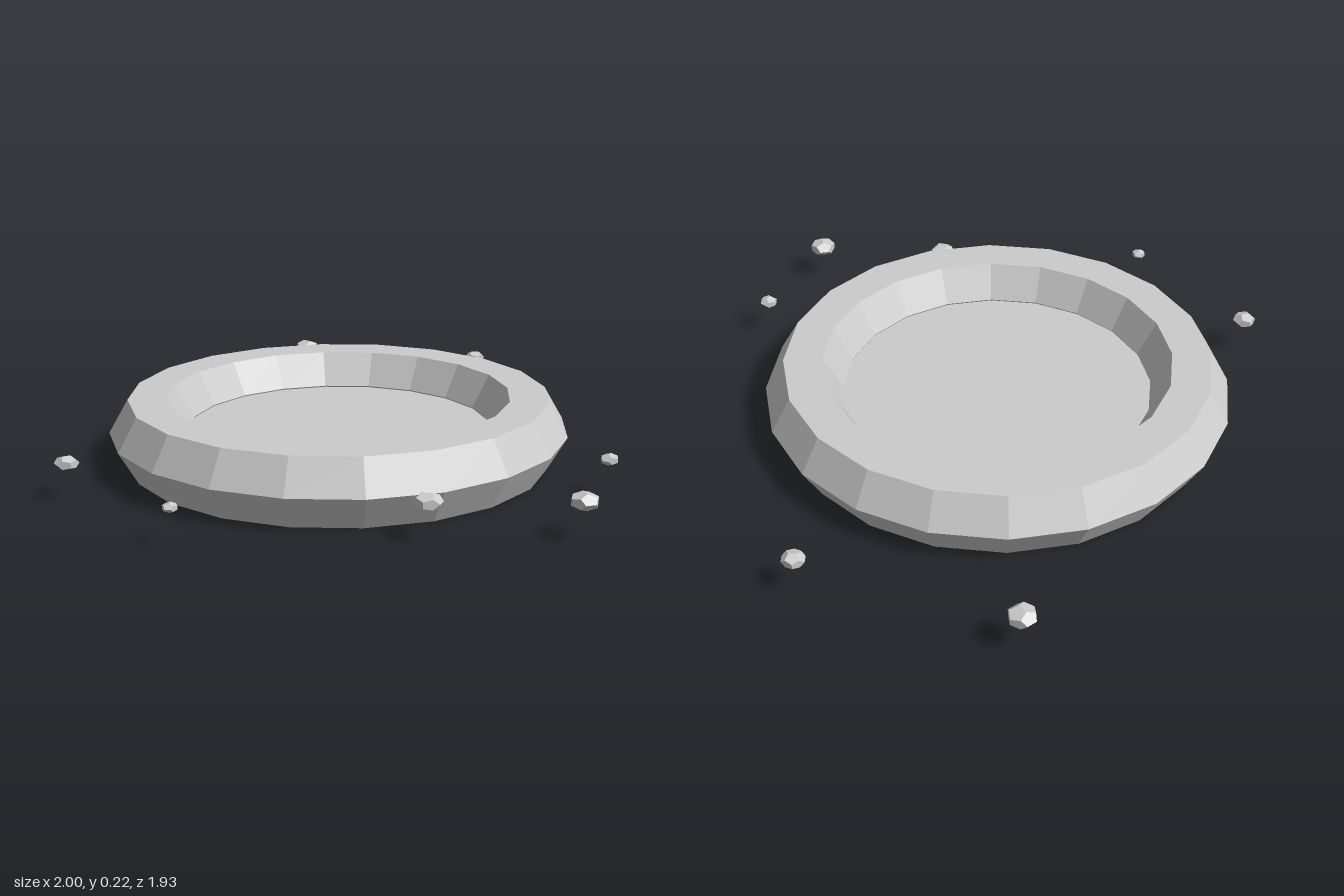
import * as THREE from 'three';

export function createModel() {
  const model = new THREE.Group();
  const stone = new THREE.MeshStandardMaterial({ color: 0xcccccc, flatShading: true, side: THREE.DoubleSide });
  stone.name = 'paleGreyStone';

  const add = (name, geometry, x, y, z) => {
    const mesh = new THREE.Mesh(geometry, stone);
    mesh.name = name;
    mesh.position.set(x, y, z);
    model.add(mesh);
    return mesh;
  };

  const SIDES = 20, RING = 0.62, TUBE = 0.125;
  const cx = -0.092, cz = 0.036, midY = TUBE * Math.sin(Math.PI / 3);

  // Six-sided rim lying flat
  add('rim', new THREE.TorusGeometry(RING, TUBE, 6, SIDES).rotateX(-Math.PI / 2), cx, midY, cz);

  // Flat floor across the middle of the rim
  add('floor', new THREE.CircleGeometry(RING - TUBE + 0.002, SIDES).rotateX(-Math.PI / 2), cx, 0.104, cz);

  // Flattened pebbles scattered around: x, z, radius
  const pebbles = [
    [-0.957, -0.568, 0.045],
    [-0.397, -0.933, 0.036],
    [0.76, -0.3, 0.03],
    [0.952, 0.05, 0.045],
    [0.656, 0.374, 0.045],
    [-0.327, 0.925, 0.038],
    [0.208, 0.931, 0.024],
  ];
  pebbles.forEach(([x, z, r], i) => {
    const pebble = add('pebble' + (i + 1), new THREE.DodecahedronGeometry(r), x, 0.118, z);
    pebble.scale.y = 0.6;
    pebble.rotation.y = i * 0.9;
  });

  return model;
}
